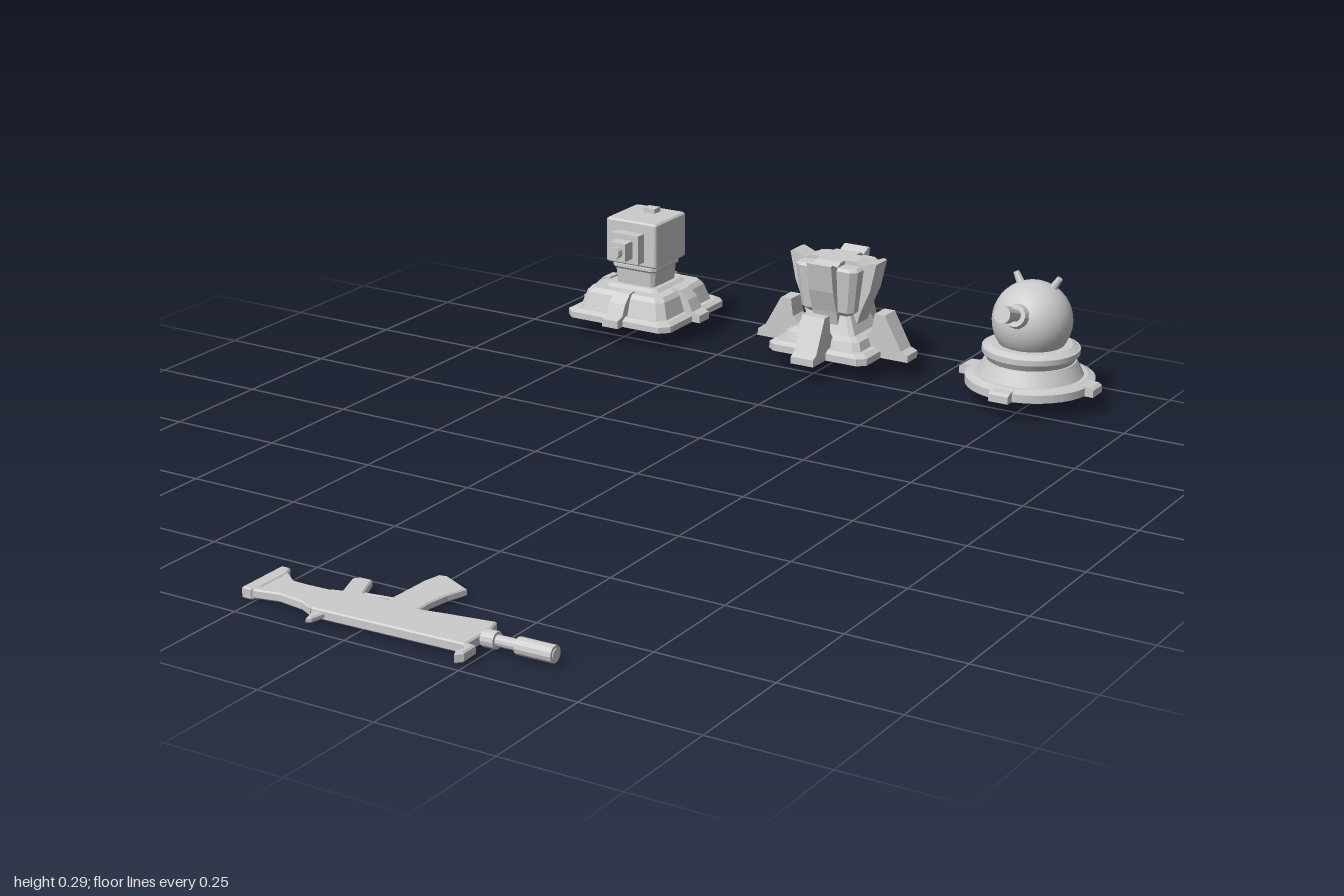
import * as THREE from 'three';

const flat = new THREE.MeshStandardMaterial({ color: 0xcccccc, flatShading: true });
const smooth = new THREE.MeshStandardMaterial({ color: 0xcccccc });

function add(parent, name, geometry, x = 0, y = 0, z = 0, material = flat) {
  const mesh = new THREE.Mesh(geometry, material);
  mesh.name = name;
  mesh.position.set(x, y, z);
  parent.add(mesh);
  return mesh;
}

const vectors = (pts) => pts.map(([a, b]) => new THREE.Vector2(a, b));

// Stack of squares with cut corners; profile lists [half width, height] upwards
function squareStack(profile, cut = 0.08) {
  const g = new THREE.LatheGeometry(vectors(profile), 8);
  const pos = g.attributes.position;
  const n = profile.length;
  for (let i = 0; i <= 8; i++) {
    const angle = Math.PI / 4 + Math.floor(i / 2) * Math.PI / 2 + (i % 2 ? cut : -cut);
    for (let j = 0; j < n; j++) {
      const r = profile[j][0] / Math.cos(Math.PI / 4 - cut);
      pos.setXYZ(i * n + j, Math.sin(angle) * r, profile[j][1], Math.cos(angle) * r);
    }
  }
  g.computeVertexNormals();
  return g;
}

// Four copies of a [radius, height] outline of the given width, one per side
function fourSides(parent, name, outline, width) {
  for (let k = 0; k < 4; k++) {
    const g = new THREE.ExtrudeGeometry(new THREE.Shape(vectors(outline)), { depth: width, bevelEnabled: false });
    g.translate(0, 0, -width / 2);
    add(parent, name, g).rotation.y = k * Math.PI / 2;
  }
}

// Rod between two points
function rod(parent, name, from, to, r0, r1, sides = 12) {
  const a = new THREE.Vector3(...from), b = new THREE.Vector3(...to);
  const d = b.clone().sub(a);
  const m = add(parent, name, new THREE.CylinderGeometry(r1, r0, d.length(), sides));
  m.position.copy(a).addScaledVector(d, 0.5);
  m.quaternion.setFromUnitVectors(new THREE.Vector3(0, 1, 0), d.normalize());
}

function boxTurret() {
  const t = new THREE.Group();
  t.name = 'boxTurret';
  add(t, 'steppedBase', squareStack([[0, 0], [0.138, 0], [0.138, 0.014], [0.125, 0.021], [0.116, 0.021],
    [0.104, 0.058], [0.095, 0.068], [0.07, 0.068], [0.06, 0.075], [0, 0.075]]));
  add(t, 'neck', squareStack([[0.05, 0.07], [0.053, 0.11], [0.058, 0.115], [0.058, 0.122], [0.048, 0.128], [0, 0.128]]));
  add(t, 'head', squareStack([[0, 0.126], [0.064, 0.126], [0.067, 0.13], [0.067, 0.228], [0.063, 0.232], [0, 0.232]], 0.03));
  add(t, 'topKnob', new THREE.BoxGeometry(0.03, 0.014, 0.026), 0, 0.236, -0.025);
  fourSides(t, 'leg', [[0.158, 0], [0.158, 0.018], [0.138, 0.024], [0.126, 0.05], [0.105, 0.07],
    [0.085, 0.072], [0.08, 0]], 0.042);

  // Square gun mount with a recessed front
  const frame = new THREE.Shape(vectors([[-0.036, -0.034], [0.036, -0.034], [0.036, 0.034], [-0.036, 0.034]]));
  frame.holes.push(new THREE.Path(vectors([[-0.021, -0.021], [-0.021, 0.021], [0.021, 0.021], [0.021, -0.021]])));
  add(t, 'gunFrame', new THREE.ExtrudeGeometry(frame, { depth: 0.03, bevelEnabled: false }), 0, 0.173, 0.064);
  add(t, 'gunBlock', new THREE.BoxGeometry(0.042, 0.042, 0.07), 0, 0.173, 0.09);
  rod(t, 'gunBarrel', [0, 0.173, 0.12], [0, 0.173, 0.142], 0.014, 0.014);
  return t;
}

function crossTurret() {
  const t = new THREE.Group();
  t.name = 'crossTurret';
  add(t, 'steppedBase', squareStack([[0, 0], [0.105, 0], [0.105, 0.016], [0.094, 0.023], [0.084, 0.023],
    [0.078, 0.042], [0.062, 0.05], [0.046, 0.09], [0, 0.09]]));
  add(t, 'core', squareStack([[0.03, 0.05], [0.046, 0.09], [0.056, 0.1], [0.066, 0.198], [0.06, 0.204], [0, 0.204]], 0.1));
  fourSides(t, 'flaredArm', [[0.02, 0.06], [0.052, 0.06], [0.062, 0.1], [0.08, 0.15], [0.092, 0.214], [0.085, 0.216],
    [0.062, 0.205], [0.045, 0.213], [0, 0.213]], 0.052);
  fourSides(t, 'foot', [[0.162, 0], [0.162, 0.016], [0.148, 0.023], [0.127, 0.068], [0.112, 0.1],
    [0.09, 0.1], [0.085, 0.06], [0.06, 0.03], [0.06, 0]], 0.048);
  t.scale.x = 1.18;
  return t;
}

function domeTurret() {
  const t = new THREE.Group();
  t.name = 'domeTurret';
  // Each ring of the round base has its own smooth side and crisp edge
  const rings = [[0.142, 0.142, 0, 0.018], [0.125, 0.142, 0.018, 0.025], [0.1, 0.116, 0.025, 0.057],
    [0.105, 0.096, 0.057, 0.072], [0.107, 0.107, 0.072, 0.084], [0.09, 0.104, 0.084, 0.092]];
  for (const [top, bottom, y0, y1] of rings)
    add(t, 'baseRing', new THREE.CylinderGeometry(top, bottom, y1 - y0, 40), 0, (y0 + y1) / 2, 0, smooth);
  add(t, 'dome', new THREE.SphereGeometry(0.088, 32, 20), 0, 0.143, 0, smooth);
  fourSides(t, 'pad', [[0.16, 0], [0.16, 0.016], [0.152, 0.021], [0.12, 0.023], [0.12, 0]], 0.046);

  // Upward pointing barrel and two antennae
  rod(t, 'barrelSocket', [0, 0.166, 0.06], [0, 0.177, 0.092], 0.032, 0.024, 16);
  rod(t, 'barrel', [0, 0.172, 0.07], [0, 0.192, 0.138], 0.014, 0.014, 16);
  rod(t, 'muzzle', [0, 0.189, 0.127], [0, 0.197, 0.156], 0.019, 0.019, 16);
  for (const s of [-1, 1]) rod(t, 'antenna', [s * 0.034, 0.21, -0.015], [s * 0.052, 0.24, -0.019], 0.01, 0.007, 8);
  return t;
}

function rifle() {
  const t = new THREE.Group();
  t.name = 'rifle';
  // Flat plate drawn in the x, z plane and centred at height y
  function plate(name, outline, thickness, y = 0, bevel = 0.003) {
    const g = new THREE.ExtrudeGeometry(new THREE.Shape(vectors(outline)), {
      depth: thickness - 2 * bevel, bevelThickness: bevel, bevelSize: bevel, bevelOffset: -bevel, bevelSegments: 1 });
    g.translate(0, 0, -(thickness - 2 * bevel) / 2);
    g.rotateX(Math.PI / 2);
    add(t, name, g, 0, y, 0);
  }
  plate('buttPlate', [[-0.277, 0.823], [-0.257, 0.823], [-0.246, 0.845], [-0.246, 0.925], [-0.257, 0.943], [-0.277, 0.943]], 0.024);
  plate('stock', [[-0.255, 0.835], [-0.215, 0.865], [-0.18, 0.867], [-0.12, 0.866], [-0.11, 0.955], [-0.14, 0.94],
    [-0.2, 0.93], [-0.255, 0.94]], 0.019);
  plate('receiver', [[-0.13, 0.866], [-0.06, 0.85], [0.065, 0.862], [0.13, 0.852], [0.224, 0.84], [0.232, 0.868],
    [0.232, 0.953], [-0.105, 0.956], [-0.13, 0.94]], 0.021);
  plate('grip', [[-0.13, 0.8], [-0.118, 0.787], [-0.093, 0.787], [-0.068, 0.85], [-0.065, 0.865], [-0.105, 0.87]], 0.017);
  plate('magazine', [[-0.012, 0.86], [-0.008, 0.74], [0, 0.703], [0.018, 0.7], [0.084, 0.733], [0.07, 0.775],
    [0.063, 0.82], [0.064, 0.868], [-0.012, 0.87]], 0.016);
  plate('triggerGuard', [[-0.075, 0.836], [-0.01, 0.828], [-0.01, 0.834], [-0.072, 0.842]], 0.008, 0, 0.001);
  plate('trigger', [[-0.046, 0.833], [-0.04, 0.833], [-0.035, 0.86], [-0.045, 0.86]], 0.006, 0, 0.001);
  plate('rearSight', [[-0.105, 0.95], [-0.075, 0.95], [-0.084, 0.985], [-0.092, 0.992], [-0.098, 0.975]], 0.012);
  plate('frontSight', [[0.22, 0.945], [0.25, 0.945], [0.252, 0.985], [0.24, 0.998], [0.231, 0.98], [0.24, 0.965]], 0.02);
  rod(t, 'barrel', [0.22, 0, 0.891], [0.385, 0, 0.891], 0.011, 0.011);
  rod(t, 'barrelCollar', [0.232, 0, 0.891], [0.26, 0, 0.891], 0.017, 0.017);
  rod(t, 'muzzleBrake', [0.305, 0, 0.891], [0.383, 0, 0.891], 0.017, 0.017);
  t.rotation.z = 0.014;
  t.position.y = 0.019;
  return t;
}

export function createModel() {
  const model = new THREE.Group();
  model.name = 'turretsAndRifle';
  const turrets = [[boxTurret(), -0.495], [crossTurret(), 0.01], [domeTurret(), 0.488]];
  for (const [turret, x] of turrets) {
    turret.position.set(x, 0.045, -0.837);
    model.add(turret);
  }
  model.add(rifle());
  return model;
}
